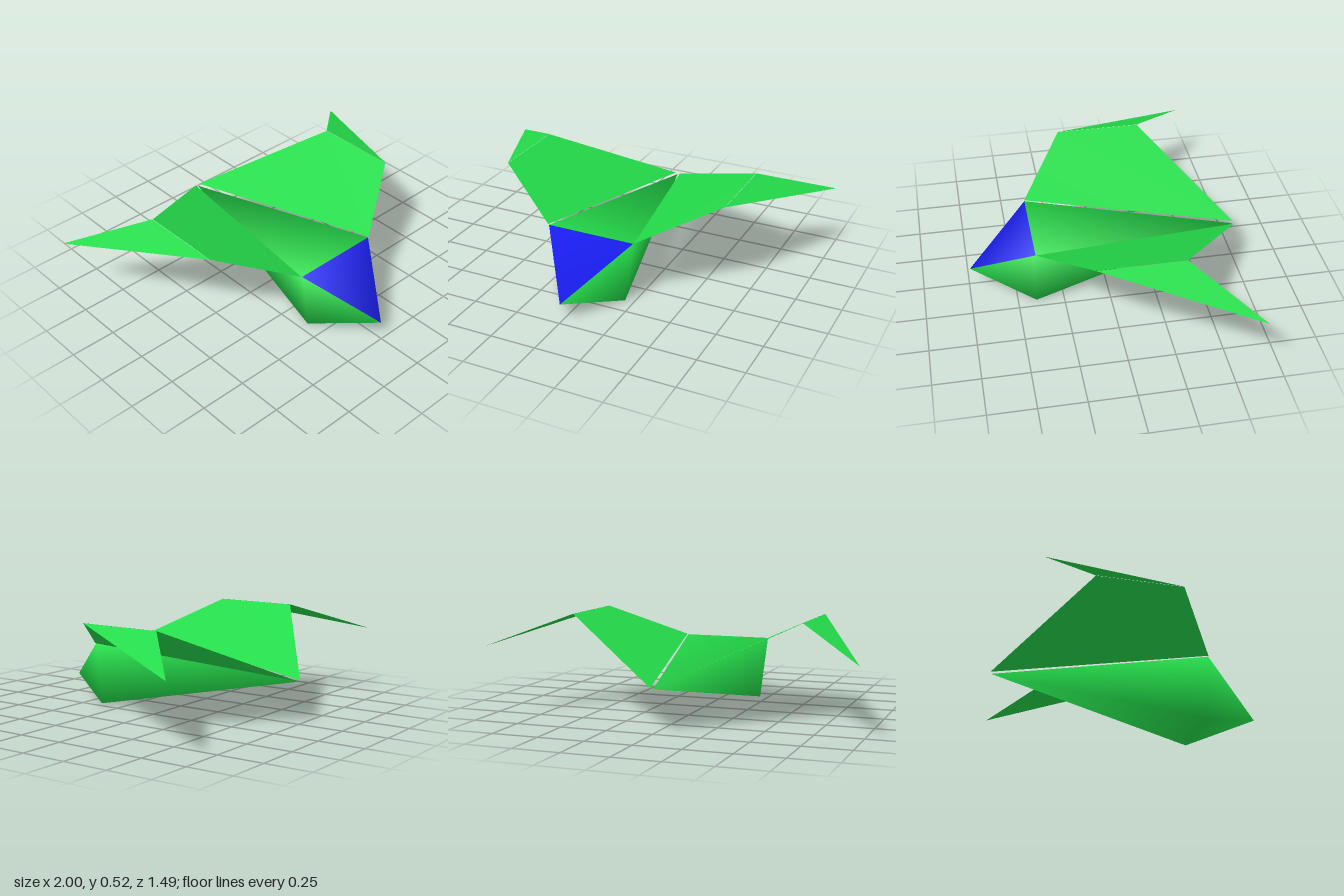
import * as THREE from 'three';

const green = new THREE.MeshStandardMaterial({ color: 0x24dc4a });
const greenPanel = new THREE.MeshStandardMaterial({ color: 0x24dc4a, side: THREE.DoubleSide });
const blue = new THREE.MeshStandardMaterial({ color: 0x1c20ff });

function part(name, geometry, material) {
  const mesh = new THREE.Mesh(geometry, material);
  mesh.name = name;
  return mesh;
}

// Thin flat panel from its corners, fanned from the first; side -1 mirrors it
function panel(name, corners, side) {
  const pts = corners.map(([x, y, z]) => [x * side, y, z]);
  if (side < 0) pts.reverse();
  const index = [];
  for (let i = 1; i < pts.length - 1; i++) index.push(0, i, i + 1);
  const g = new THREE.BufferGeometry();
  g.setAttribute('position', new THREE.Float32BufferAttribute(pts.flat(), 3));
  g.setIndex(index);
  g.computeVertexNormals();
  return part(name, g, greenPanel);
}

export function createModel() {
  const model = new THREE.Group();
  model.name = 'glider';

  // Hull: widest section at z = 0.4, tapering to points at nose and tail
  const hullPoints = [
    0, 0.105, 0.74, // nose
    0.245, 0.345, 0.4, -0.245, 0.345, 0.4, // upper corners
    0.2, 0, 0.4, -0.2, 0, 0.4, // lower corners
    0, 0.222, -0.74, // tail
  ];
  const canopyFace = [0, 1, 2];
  const hullFaces = [
    1, 5, 2, // deck
    3, 4, 5, // belly
    0, 4, 3, // chin
    0, 3, 1, 1, 3, 5, // left flank
    0, 2, 4, 2, 5, 4, // right flank
  ];
  const shell = new THREE.BufferGeometry();
  shell.setAttribute('position', new THREE.Float32BufferAttribute(hullPoints, 3));
  shell.setIndex([...canopyFace, ...hullFaces]);
  shell.computeVertexNormals();

  // Hull and canopy share the smooth normals of the whole shell
  const hull = shell.clone().setIndex(hullFaces);
  const canopy = shell.clone().setIndex(canopyFace);
  model.add(part('hull', hull, green), part('canopy', canopy, blue));

  // Raised wings with drooping, swept-back tips
  for (const side of [1, -1]) {
    const wing = new THREE.Group();
    wing.name = side > 0 ? 'leftWing' : 'rightWing';
    const frontHinge = [0.638, 0.525, 0.15];
    const rearHinge = [0.638, 0.525, -0.315];
    wing.add(
      panel('wingPanel', [[0.25, 0.348, 0.4], frontHinge, rearHinge, [0.013, 0.228, -0.745]], side),
      panel('wingTip', [[0.64, 0.525, 0.148], [1, 0.373, -0.64], [0.64, 0.525, -0.317]], side),
    );
    model.add(wing);
  }
  return model;
}
